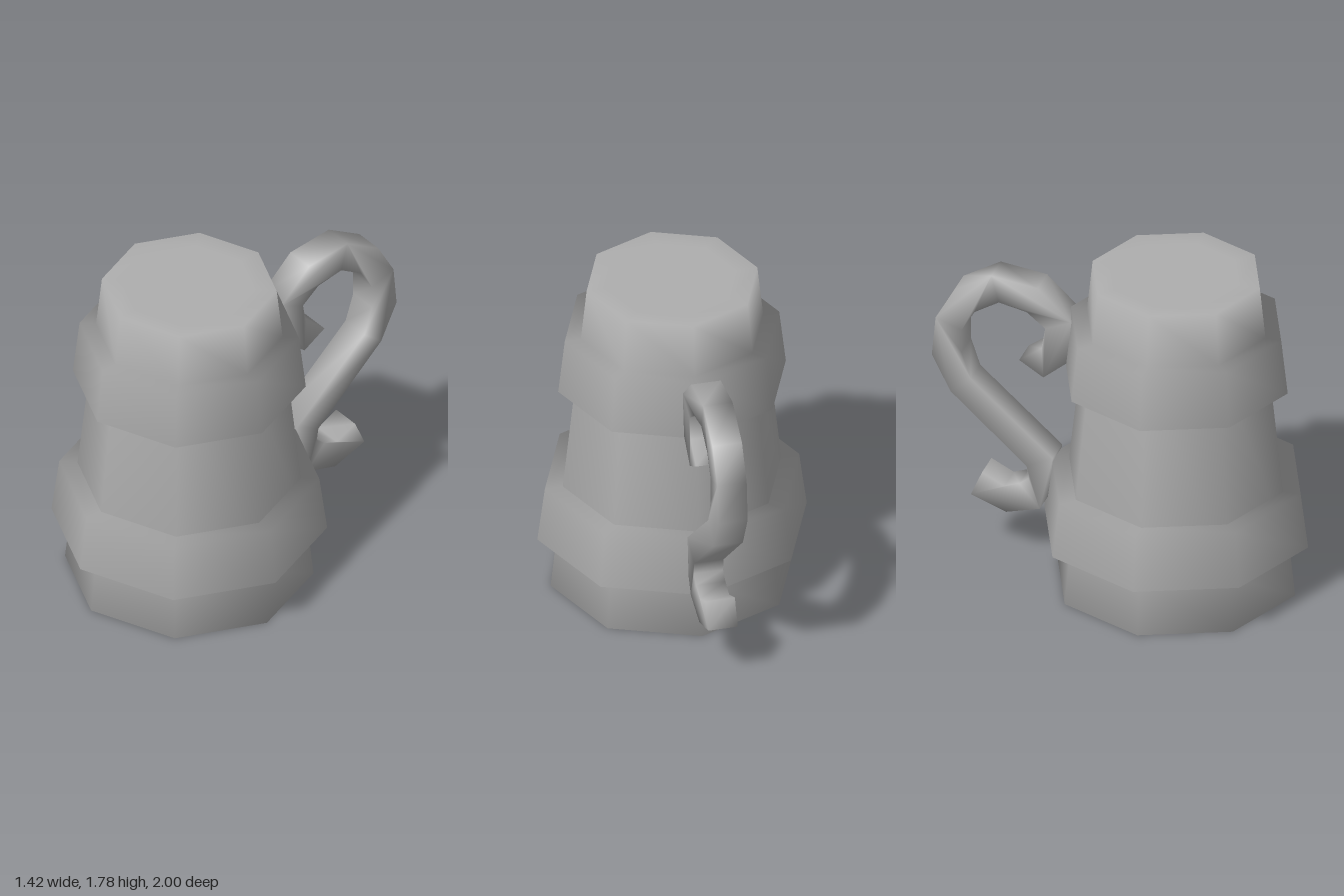
import * as THREE from 'three';
import { mergeVertices } from 'three/addons/utils/BufferGeometryUtils.js';

const material = new THREE.MeshStandardMaterial({ color: 0xaeaeae, side: THREE.DoubleSide });
const SIDES = 8;
const bodyRadius = (y) => 0.64 - 0.107 * y;

// Eight-sided turned surface from [radius, y, outward, up];
// the last two numbers lean the smooth normal, so steps shade softly
function turned(name, profile) {
  const points = profile.map(([r, y]) => new THREE.Vector2(r, y));
  const geometry = new THREE.LatheGeometry(points, SIDES);
  const normal = new THREE.Vector3();
  for (let i = 0; i <= SIDES; i++) {
    const angle = (i / SIDES) * Math.PI * 2;
    profile.forEach(([, , out, up], j) => {
      normal.set(out * Math.sin(angle), up, out * Math.cos(angle)).normalize();
      geometry.attributes.normal.setXYZ(i * profile.length + j, normal.x, normal.y, normal.z);
    });
  }
  const mesh = new THREE.Mesh(geometry, material);
  mesh.name = name;
  return mesh;
}

// Raised hoop: underside, flared wall and top ledge
function hoop(name, y0, y1, r0, r1) {
  return turned(name, [
    [bodyRadius(y0), y0, 1, 0],
    [r0, y0, 1, 0],
    [r1, y1, 1, 0.15],
    [bodyRadius(y1), y1, 1, 0.15],
  ]);
}

// Curled strap handle: [z, y] along one edge of the strap and back along the other
function handle() {
  const edgeA = [
    [-0.40, 1.09], [-0.27, 1.20], [-0.25, 1.44], [-0.43, 1.61], [-0.68, 1.64],
    [-0.88, 1.52], [-0.98, 1.34], [-1.00, 1.12], [-0.90, 0.92], [-0.49, 0.55],
    [-0.48, 0.48], [-0.53, 0.44], [-0.61, 0.41], [-0.73, 0.47],
  ];
  const edgeB = [
    [-0.53, 1.17], [-0.41, 1.26], [-0.39, 1.38], [-0.49, 1.46], [-0.64, 1.49],
    [-0.77, 1.41], [-0.84, 1.29], [-0.84, 1.16], [-0.79, 1.01], [-0.35, 0.62],
    [-0.37, 0.40], [-0.42, 0.31], [-0.60, 0.26], [-0.79, 0.33],
  ];
  const outline = [...edgeA, ...edgeB.reverse()].map(([z, y]) => new THREE.Vector2(z, y));
  const width = 0.155;
  const strap = new THREE.ExtrudeGeometry(new THREE.Shape(outline), {
    depth: width, bevelEnabled: false,
  });
  strap.rotateY(-Math.PI / 2);
  strap.translate(width / 2, 0, 0);
  // Share the corners so the strap shades smoothly all round
  strap.deleteAttribute('normal');
  strap.deleteAttribute('uv');
  const geometry = mergeVertices(strap);
  geometry.computeVertexNormals();
  const mesh = new THREE.Mesh(geometry, material);
  mesh.name = 'handle';
  return mesh;
}

export function createModel() {
  const model = new THREE.Group();
  model.name = 'tankard';

  const vessel = new THREE.Group();
  vessel.name = 'vessel';
  vessel.position.z = 0.29;
  vessel.add(
    // Flat base running softly into the tapered wall, neck and rim
    turned('body', [
      [0, 0, 0, -1],
      [bodyRadius(0), 0, 1, -0.3],
      [bodyRadius(0.3), 0.3, 1, 0],
      [bodyRadius(1.49), 1.49, 1, 0.15],
      [0.45, 1.78, 0.15, 1],
      [0.34, 1.78, 0, 1],
    ]),
    // Slightly sunken disc in the top
    turned('topDisc', [
      [0.34, 1.78, 0, 1],
      [0.34, 1.765, 0, 1],
      [0, 1.765, 0, 1],
    ]),
    hoop('lowerHoop', 0.295, 0.60, 0.71, 0.67),
    hoop('upperHoop', 1.185, 1.49, 0.60, 0.565)
  );

  model.add(vessel, handle());
  return model;
}
